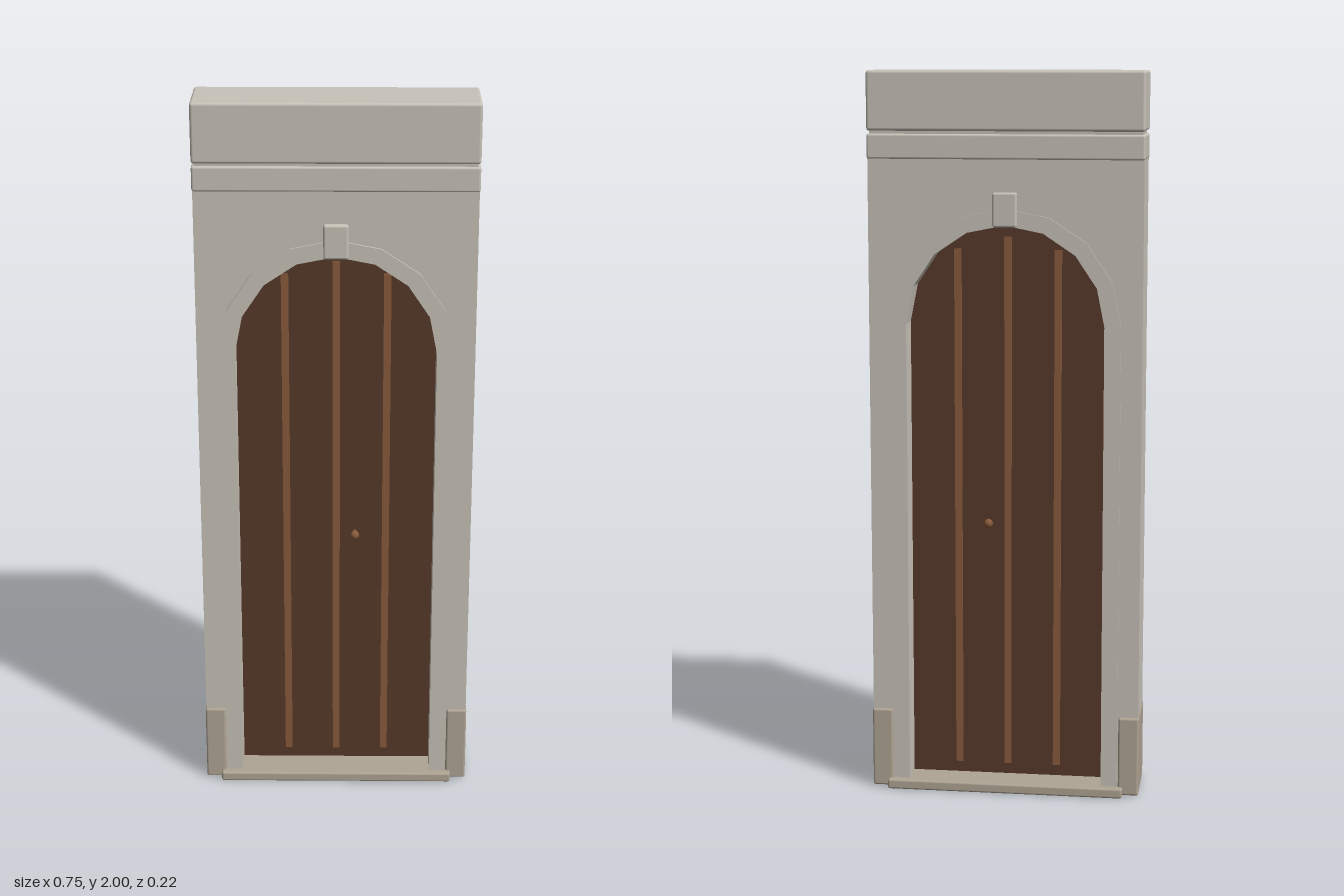
import * as THREE from 'three';
import { RoundedBoxGeometry } from 'three/addons/geometries/RoundedBoxGeometry.js';

const SPRING = 1.32; // height where the arch begins

function material(name, color) {
  const m = new THREE.MeshStandardMaterial({ color });
  m.name = name;
  return m;
}

// Outline of an arched opening, from the floor up and over in eight facets
function archPoints(r, bottom) {
  const pts = [new THREE.Vector2(r, bottom)];
  for (let i = 0; i <= 8; i++) {
    const a = (i / 8) * Math.PI;
    pts.push(new THREE.Vector2(r * Math.cos(a), SPRING + r * Math.sin(a)));
  }
  pts.push(new THREE.Vector2(-r, bottom));
  return pts;
}

// Extrude a shape centred on z = 0
function slab(points, depth) {
  const g = new THREE.ExtrudeGeometry(new THREE.Shape(points), { depth, bevelEnabled: false });
  return g.translate(0, 0, -depth / 2);
}

export function createModel() {
  const group = new THREE.Group();
  const stone = material('pale stone', 0xc9c3b9);
  const baseStone = material('tan base stone', 0xb0a594);
  const wood = material('dark wood', 0x573829);
  const trim = material('light wood', 0x8a5b3c);

  const add = (name, geometry, mat, x = 0, y = 0, z = 0) => {
    const mesh = new THREE.Mesh(geometry, mat);
    mesh.name = name;
    mesh.position.set(x, y, z);
    group.add(mesh);
    return mesh;
  };
  // Softly edged block given by its bottom and top heights
  const block = (name, w, y0, y1, d, mat, x = 0, r = 0.006) =>
    add(name, new RoundedBoxGeometry(w, y1 - y0, d, 2, r), mat, x, (y0 + y1) / 2);

  // Wall around the arched opening
  const corner = (x, y) => new THREE.Vector2(x, y);
  const wallOutline = [
    ...archPoints(0.29, 0.005),
    corner(-0.373, 0.005), corner(-0.373, 1.8), corner(0.373, 1.8), corner(0.373, 0.005),
  ];
  add('wall', slab(wallOutline, 0.168), stone);

  // Raised arch surround lining the opening
  const surround = [...archPoints(0.315, 0.005), ...archPoints(0.27, 0.005).reverse()];
  add('archSurround', slab(surround, 0.18), stone);
  block('keystone', 0.066, 1.585, 1.678, 0.196, stone);

  // Moulding and cap, with a narrow recessed joint between them
  block('moulding', 0.75, 1.765, 1.832, 0.176, stone);
  add('capJoint', new THREE.BoxGeometry(0.735, 0.04, 0.16), stone, 0, 1.835);
  block('cap', 0.75, 1.84, 2, 0.184, stone, 0, 0.008);

  // Plinth blocks and threshold
  for (const s of [-1, 1]) {
    block(s > 0 ? 'leftPlinth' : 'rightPlinth', 0.057, 0.004, 0.228, 0.184, baseStone, s * 0.3465);
  }
  block('threshold', 0.662, 0, 0.028, 0.222, baseStone);

  // Door leaf
  add('door', slab(archPoints(0.271, 0.01), 0.03), wood);

  // Batten strips and knobs on both faces
  for (const s of [-1, 1]) {
    for (const x of [-0.138, 0, 0.138]) {
      const top = x === 0 ? 1.555 : 1.52;
      add('doorStrip', new THREE.BoxGeometry(0.02, top - 0.06, 0.008), trim, x, (top + 0.06) / 2, s * 0.017);
    }
    const stem = add('knobStem', new THREE.CylinderGeometry(0.006, 0.006, 0.022, 8), trim, 0.052, 0.76, s * 0.025);
    stem.rotation.x = Math.PI / 2;
    add('knob', new THREE.SphereGeometry(0.013, 8, 6), trim, 0.052, 0.76, s * 0.04);
  }
  return group;
}
